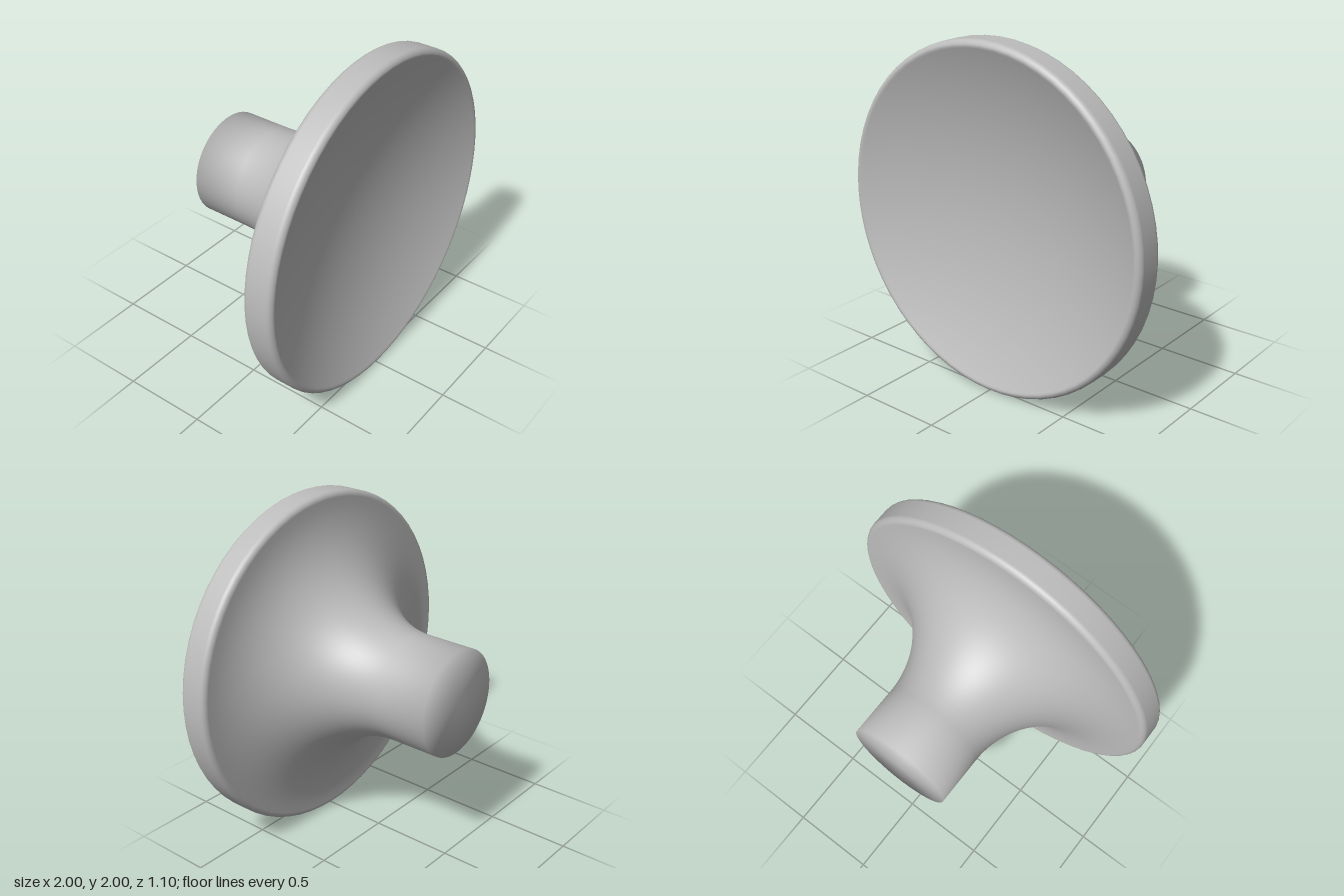
import * as THREE from 'three';

const SEGMENTS = 64;

// Turned part: profile of [radius, z] from back to front, spun around the z axis
function turned(name, profile, material) {
  const geometry = new THREE.LatheGeometry(profile.map(([r, z]) => new THREE.Vector2(r, z)), SEGMENTS);
  geometry.rotateX(Math.PI / 2);
  const mesh = new THREE.Mesh(geometry, material);
  mesh.name = name;
  mesh.position.y = 1;
  return mesh;
}

// Points on an elliptical arc
function arc(cr, cz, rr, rz, from, to, steps) {
  return Array.from({ length: steps + 1 }, (_, i) => {
    const a = from + (to - from) * i / steps;
    return [cr + rr * Math.cos(a), cz + rz * Math.sin(a)];
  });
}

export function createModel() {
  const group = new THREE.Group();
  group.name = 'knob';
  const grey = new THREE.MeshStandardMaterial({ color: 0xbcbcbc });
  grey.name = 'grey';

  // Stem with a flat, softly shaded end, flaring out to the back of the disc
  group.add(turned('flaredStem', [
    [0, -0.55], [0.31, -0.55],
    ...arc(0.96, -0.25, 0.65, 0.62, Math.PI, Math.PI / 2, 24),
  ], grey));

  // Disc with rounded edges and a shallow spherical dish in its face
  const fillet = 0.035, rim = 0.955, sag = 0.2;
  const radius = (rim * rim + sag * sag) / (2 * sag);
  const edge = Math.asin(rim / radius);
  const dish = Array.from({ length: 21 }, (_, i) => {
    const a = edge * (1 - i / 20);
    return [radius * Math.sin(a), 0.545 - sag + radius * (1 - Math.cos(a))];
  });
  group.add(turned('dishedDisc', [
    [0.94, 0.37],
    ...arc(1 - fillet, 0.37 + fillet, fillet, fillet, -Math.PI / 2, 0, 6),
    ...arc(1 - fillet, 0.55 - fillet, fillet, fillet, 0, Math.PI / 2, 6),
    ...dish,
  ], grey));

  return group;
}
